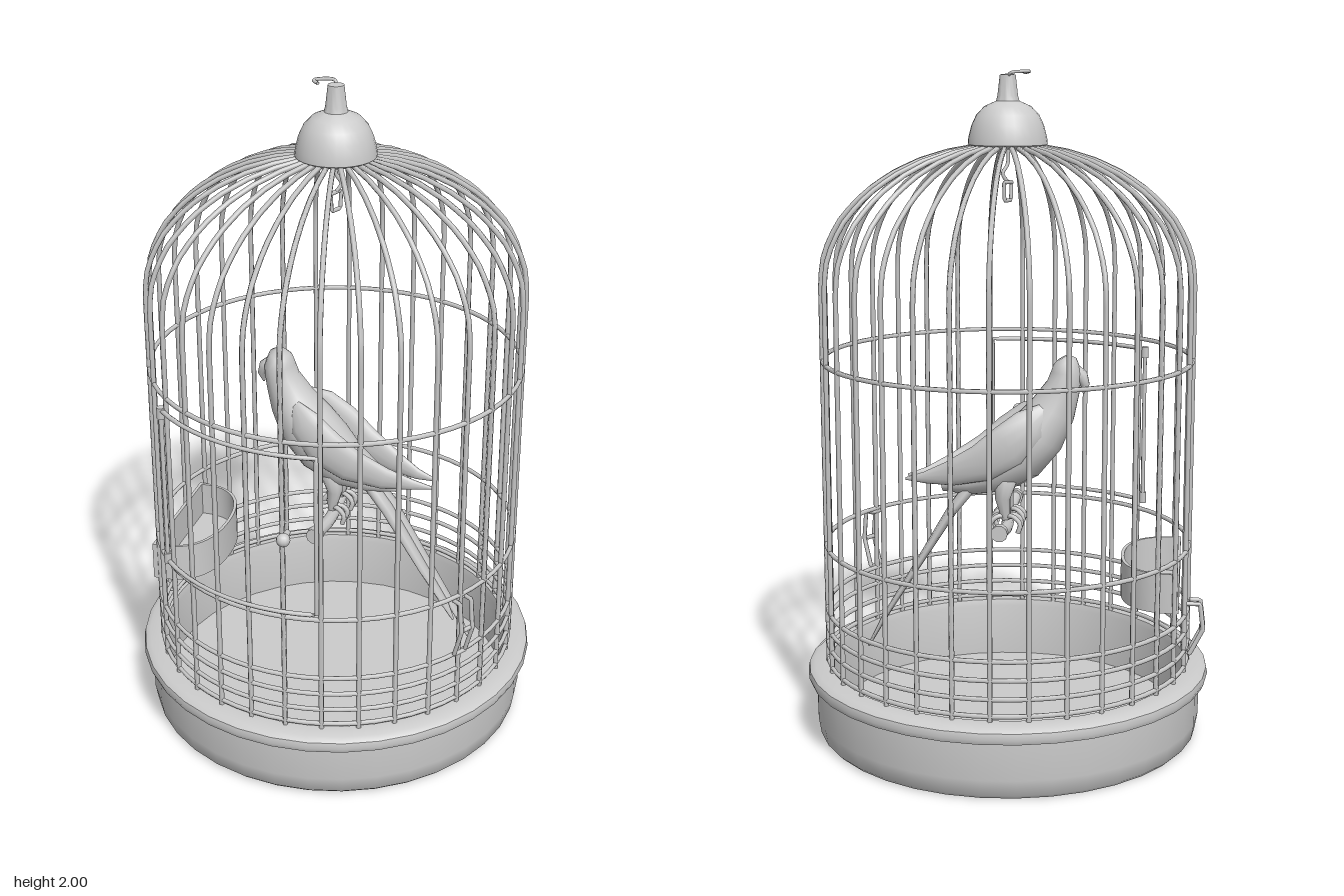
import * as THREE from 'three';
import { toCreasedNormals } from 'three/addons/utils/BufferGeometryUtils.js';

const grey = new THREE.MeshStandardMaterial({ color: 0xcccccc, side: THREE.DoubleSide });
const V = (x, y, z) => new THREE.Vector3(x, y, z);
const TILT = 0.37; // shared heading of bird, perch and feeder

function add(parent, name, geometry) {
  const mesh = new THREE.Mesh(geometry, grey);
  mesh.name = name;
  parent.add(mesh);
  return mesh;
}

function group(parent, name) {
  const g = new THREE.Group();
  g.name = name;
  parent.add(g);
  return g;
}

// Wire running through points, optionally with straight corners
function wire(points, radius, { closed = false, straight = false, segments = 24, sides = 6 } = {}) {
  let curve;
  if (straight) {
    curve = new THREE.CurvePath();
    const n = points.length;
    for (let i = 0; i < (closed ? n : n - 1); i++) curve.add(new THREE.LineCurve3(points[i], points[(i + 1) % n]));
  } else curve = new THREE.CatmullRomCurve3(points, closed);
  return new THREE.TubeGeometry(curve, segments, radius, sides, closed);
}

function lathe(profile, sides) {
  return toCreasedNormals(new THREE.LatheGeometry(profile.map(p => new THREE.Vector2(...p)), sides), 0.65);
}

// Smooth skin over elliptical sections [x, y, z, halfWidth, halfHeight]
function loft(sections, sides = 14) {
  const pos = [], index = [], X = V(1, 0, 0), n = sections.length;
  const c = sections.map(s => V(s[0], s[1], s[2]));
  const ring = (p, N, w, h) => {
    for (let j = 0; j < sides; j++) {
      const a = j / sides * Math.PI * 2;
      const q = p.clone().addScaledVector(X, w * Math.cos(a)).addScaledVector(N, h * Math.sin(a));
      pos.push(q.x, q.y, q.z);
    }
  };
  sections.forEach((s, i) => {
    const T = c[Math.min(i + 1, n - 1)].clone().sub(c[Math.max(i - 1, 0)]).setX(0).normalize();
    const N = T.clone().cross(X);
    if (i === 0) ring(c[i], N, 0, 0);
    ring(c[i], N, s[3], s[4]);
    if (i === n - 1) ring(c[i], N, 0, 0);
  });
  for (let i = 0; i < n + 1; i++) for (let j = 0; j < sides; j++) {
    const k = (j + 1) % sides, a = i * sides, b = a + sides;
    index.push(a + j, a + k, b + k, a + j, b + k, b + j);
  }
  const g = new THREE.BufferGeometry();
  g.setAttribute('position', new THREE.Float32BufferAttribute(pos, 3));
  g.setIndex(index);
  g.computeVertexNormals();
  return g;
}

function buildCage(root) {
  const cage = group(root, 'cage');
  add(cage, 'tray', lathe([[0, 0], [0.57, 0], [0.582, 0.012], [0.59, 0.06], [0.59, 0.17], [0.61, 0.175],
    [0.616, 0.19], [0.612, 0.208], [0.595, 0.22], [0.545, 0.22], [0.54, 0.2], [0.54, 0.03], [0, 0.03]], 36));

  // Upright bars bending into the dome
  const path = [V(0.552, 0.2, 0), V(0.552, 0.8, 0)];
  for (let i = 0; i <= 9; i++) {
    const a = i / 9 * 1.4;
    path.push(V(0.552 * Math.cos(a), 1.39 + 0.395 * Math.sin(a), 0));
  }
  const barGeometry = wire(path, 0.008, { straight: true, segments: 44, sides: 5 });
  for (let i = 0; i < 32; i++) add(cage, 'bar', barGeometry).rotation.y = i / 32 * Math.PI * 2;

  // Horizontal hoops
  for (const y of [0.235, 0.285, 0.34, 0.395, 0.595, 1.155]) {
    const hoop = add(cage, 'hoop', new THREE.TorusGeometry(0.552, 0.007, 6, 64));
    hoop.rotation.x = Math.PI / 2;
    hoop.position.y = y;
  }

  // Cap, neck and hanging hook
  add(cage, 'cap', lathe([[0, 1.78], [0.1, 1.775], [0.117, 1.785], [0.115, 1.805], [0.106, 1.84], [0.092, 1.87],
    [0.068, 1.895], [0.034, 1.91], [0.03, 1.925], [0.023, 1.985], [0, 1.988]], 28));
  add(cage, 'topHook', wire([V(0, 1.97, 0), V(0.02, 1.99, -0.02), V(0, 1.994, -0.045),
    V(-0.03, 1.994, -0.055), V(-0.036, 1.99, -0.035)], 0.005));

  // Link hanging under the cap
  add(cage, 'innerHook', wire([V(0, 1.79, 0), V(0, 1.73, 0), V(0.012, 1.7, 0.01), V(0, 1.675, 0)], 0.006));
  add(cage, 'link', wire([V(-0.024, 1.675, 0), V(0.024, 1.675, 0), V(0.02, 1.622, 0), V(-0.02, 1.622, 0)], 0.006,
    { closed: true, straight: true }));
}

function buildDoor(root) {
  const door = group(root, 'door');
  const at = (t, y, r = 0.566) => V(-r * Math.cos(t), y, r * Math.sin(t));
  const low = [], high = [];
  for (let i = 0; i <= 10; i++) {
    const t = -0.41 + i / 10 * 0.98;
    low.push(at(t, 0.62));
    high.unshift(at(t, 1.12));
  }
  add(door, 'doorFrame', wire([...low, ...high], 0.007, { closed: true, straight: true, segments: 110 }));
  for (const y of [0.63, 1.11]) {
    const hinge = add(door, 'hinge', new THREE.CylinderGeometry(0.012, 0.012, 0.035, 8));
    hinge.position.copy(at(-0.41, y));
  }
  // Latch knob
  const knob = add(door, 'knob', new THREE.SphereGeometry(0.02, 12, 8));
  knob.position.copy(at(0.42, 0.875, 0.595));
  add(door, 'knobStem', wire([at(0.42, 0.875, 0.55), at(0.42, 0.875, 0.59)], 0.009, { segments: 2 }));
}

function buildClips(root) {
  // Wire clip: an outer loop leaning off the bars with hooked ends
  const clip = (name, angle, y0, y1, lean) => {
    const g = group(root, name);
    g.rotation.y = angle;
    const w = 0.022, m = (y0 + y1) / 2;
    add(g, 'clipLoop', wire([V(-w, y1, 0.55), V(-w, y1, 0.57 + lean), V(-w, m, 0.58 + lean), V(-w, y0, 0.56),
      V(w, y0, 0.56), V(w, m, 0.58 + lean), V(w, y1, 0.57 + lean), V(w, y1, 0.55)], 0.007,
    { closed: true, straight: true, segments: 90 }));
    add(g, 'clipBar', wire([V(-w, m, 0.575 + lean), V(w, m, 0.575 + lean)], 0.007, { segments: 2 }));
  };
  clip('frontClip', -0.2, 0.4, 0.585, 0.008);
  clip('backClip', Math.PI + 0.37, 0.25, 0.41, 0.02);
}

function buildFeeder(root) {
  // D-shaped trough, flat side against the bars
  const outline = (Type, w, d, y) => {
    const s = new Type();
    s.moveTo(-w, y);
    s.lineTo(w, y);
    s.bezierCurveTo(w + 0.01, d * 0.75, w * 0.6, d, 0, d);
    s.bezierCurveTo(-w * 0.6, d, -w - 0.01, d * 0.75, -w, y);
    return s;
  };
  const extrude = (shape, depth) => toCreasedNormals(new THREE.ExtrudeGeometry(shape,
    { depth, bevelEnabled: false, curveSegments: 12 }).rotateX(Math.PI / 2), 0.6);
  const feeder = group(root, 'feeder');
  feeder.position.set(-0.21, 0, -0.483);
  feeder.rotation.y = TILT;
  const wall = outline(THREE.Shape, 0.205, 0.18, 0);
  wall.holes.push(outline(THREE.Path, 0.195, 0.17, 0.01));
  add(feeder, 'feederWall', extrude(wall, 0.12)).position.y = 0.55;
  add(feeder, 'feederFloor', extrude(outline(THREE.Shape, 0.2, 0.175, 0.004), 0.01)).position.y = 0.441;
}

function buildBird(root) {
  // Perch: a slightly sagging branch with thicker ends
  const perch = group(root, 'perchAndBird');
  perch.rotation.y = TILT;
  add(perch, 'perch', wire([V(-0.215, 0.67, 0), V(-0.1, 0.652, 0.005), V(0, 0.643, 0), V(0.1, 0.652, -0.005),
    V(0.215, 0.668, 0)], 0.019, { sides: 10 }));
  for (const s of [-1, 1]) {
    const knob = add(perch, 'perchEnd', new THREE.CylinderGeometry(0.025, 0.025, 0.025, 10));
    knob.rotation.z = Math.PI / 2;
    knob.position.set(s * 0.215, 0.669, 0);
  }

  // Head and body in one skin, facing local -z
  const bird = group(perch, 'bird');
  add(bird, 'body', loft([[0, 1.157, -0.165, 0.02, 0.02], [0, 1.145, -0.172, 0.042, 0.036], [0, 1.115, -0.177, 0.055, 0.046],
    [0, 1.07, -0.168, 0.058, 0.052], [0, 1.0, -0.138, 0.072, 0.07], [0, 0.93, -0.095, 0.094, 0.086],
    [0, 0.86, -0.035, 0.1, 0.088], [0, 0.805, 0.035, 0.083, 0.07], [0, 0.77, 0.12, 0.055, 0.042],
    [0, 0.755, 0.2, 0.025, 0.018]], 18));
  add(bird, 'beak', loft([[0, 1.115, -0.2, 0.024, 0.024], [0, 1.1, -0.222, 0.022, 0.022],
    [0, 1.075, -0.233, 0.014, 0.014], [0, 1.05, -0.228, 0.003, 0.003]], 10));

  for (const s of [-1, 1]) {
    // Folded wing
    add(bird, 'wing', loft([[s * 0.055, 1.01, -0.115, 0.012, 0.02], [s * 0.078, 0.965, -0.075, 0.026, 0.055],
      [s * 0.09, 0.9, -0.01, 0.026, 0.068], [s * 0.08, 0.845, 0.07, 0.022, 0.058], [s * 0.058, 0.805, 0.17, 0.016, 0.038],
      [s * 0.035, 0.785, 0.25, 0.01, 0.018], [s * 0.025, 0.778, 0.31, 0.004, 0.004]], 12));
    // Long tail feather
    const drop = s > 0 ? 0 : 0.08;
    add(bird, 'tailFeather', loft([[s * 0.018, 0.785, 0.09, 0.026, 0.02], [s * 0.02, 0.68, 0.17, 0.03, 0.016],
      [s * 0.02, 0.5, 0.28, 0.027, 0.011], [s * 0.018, 0.33 + drop * 0.5, 0.385 - drop * 0.3, 0.02, 0.008],
      [s * 0.015, 0.235 + drop, 0.435 - drop * 0.6, 0.004, 0.004]], 8));
    // Leg and gripping toes
    add(bird, 'leg', loft([[s * 0.045, 0.79, 0.0, 0.035, 0.035], [s * 0.045, 0.73, 0.01, 0.022, 0.024],
      [s * 0.045, 0.665, 0.0, 0.013, 0.013]], 10));
    for (const [dx, dz] of [[-0.014, -1], [0.014, -1], [-0.012, 1], [0.012, 1]])
      add(bird, 'toe', wire([V(s * 0.045, 0.675, 0), V(s * 0.045 + dx, 0.676, dz * 0.025),
        V(s * 0.045 + dx * 1.4, 0.655, dz * 0.045), V(s * 0.045 + dx * 1.4, 0.628, dz * 0.038)], 0.008, { segments: 8 }));
  }
}

export function createModel() {
  const root = new THREE.Group();
  root.name = 'birdcage';
  buildCage(root);
  buildDoor(root);
  buildClips(root);
  buildFeeder(root);
  buildBird(root);
  return root;
}
